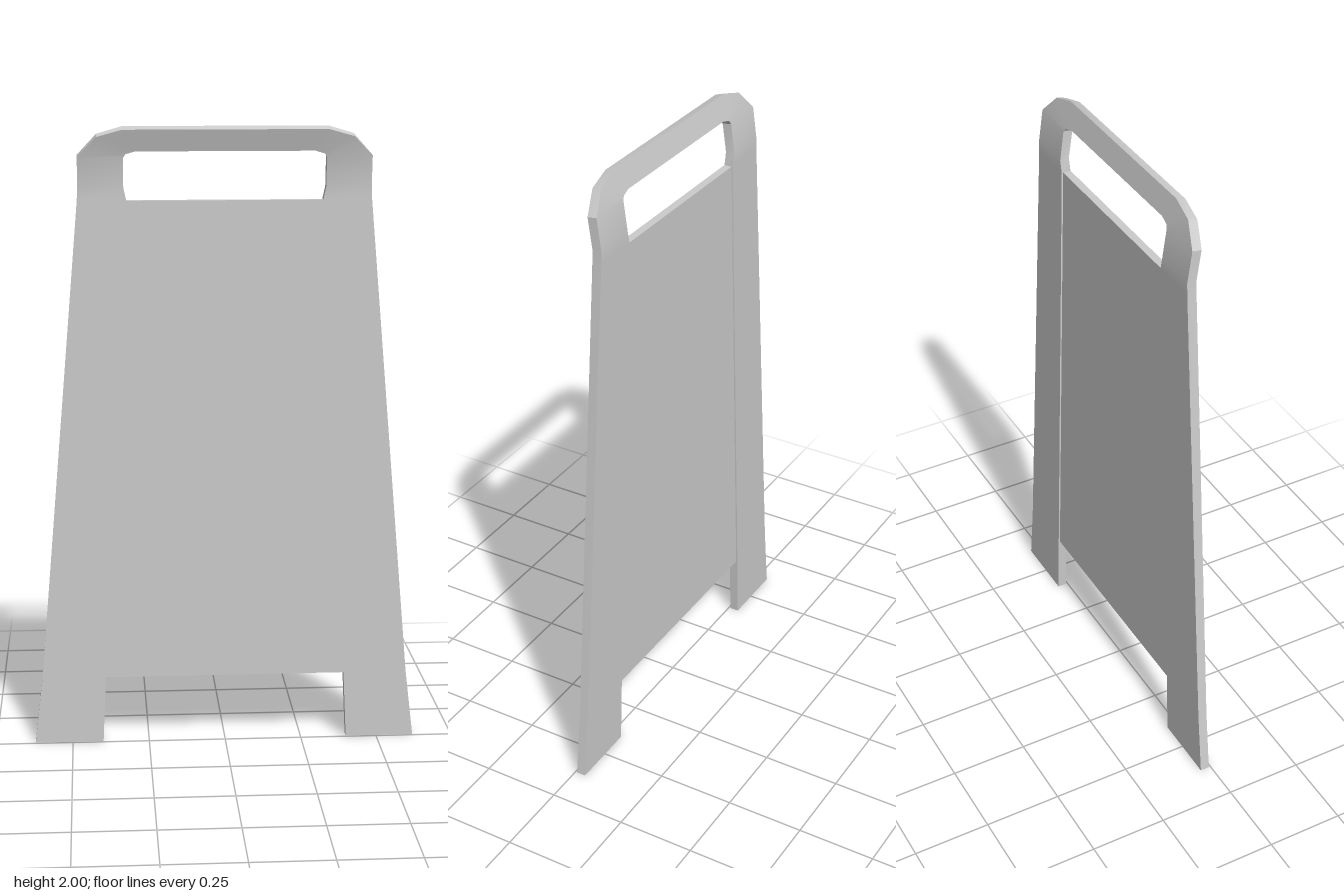
import * as THREE from 'three';
import { toCreasedNormals } from 'three/addons/utils/BufferGeometryUtils.js';

const material = new THREE.MeshStandardMaterial({ color: 0xcccccc });

// Outer and inner edge of the frame, from the left foot to the top: [outerX, outerY, innerX, innerY]
const halfFrame = [
  [0.622, 0, 0.4, 0],
  [0.596, 0.22, 0.39, 0.22],
  [0.462, 1.77, 0.308, 1.77],
  [0.46, 1.81, 0.317, 1.81],
  [0.46, 1.91, 0.317, 1.905],
  [0.4, 1.973, 0.31, 1.917],
  [0.32, 1.996, 0.28, 1.926],
];

// The top of the frame curls forward: returns the depth and tilt at a height
function bend(y) {
  const low = THREE.MathUtils.clamp((y - 1.81) / 0.1, 0, 1);
  const high = THREE.MathUtils.clamp((y - 1.91) / 0.09, 0, 1);
  return { z: -0.021 + 0.014 * low + 0.028 * high, tilt: 0.002 * low + 0.003 * high };
}

// Front (side = 1) or back (side = -1) point of the bent sheet
function sheetPoint(x, y, side) {
  const { z, tilt } = bend(y);
  return [x, y - side * tilt, z + side * 0.015];
}

// Loft a four-cornered section along the upside-down U
function frameGeometry() {
  const mirrored = halfFrame.map(([ox, oy, ix, iy]) => [-ox, oy, -ix, iy]).reverse();
  const stations = [...halfFrame, ...mirrored];
  const positions = [];
  const index = [];
  for (const [ox, oy, ix, iy] of stations) {
    positions.push(
      ...sheetPoint(ox, oy, 1), ...sheetPoint(ix, iy, 1),
      ...sheetPoint(ix, iy, -1), ...sheetPoint(ox, oy, -1),
    );
  }
  for (let s = 0; s < stations.length - 1; s++) {
    for (let k = 0; k < 4; k++) {
      const a = s * 4 + k, b = s * 4 + (k + 1) % 4;
      index.push(a, a + 4, b, b, a + 4, b + 4);
    }
  }
  // Feet
  const e = (stations.length - 1) * 4;
  index.push(0, 1, 2, 0, 2, 3, e, e + 2, e + 1, e, e + 3, e + 2);
  const geometry = new THREE.BufferGeometry();
  geometry.setAttribute('position', new THREE.Float32BufferAttribute(positions, 3));
  geometry.setIndex(index);
  return toCreasedNormals(geometry, 0.5);
}

// Tapered board set between the legs, flush with their front
function panelGeometry() {
  const shape = new THREE.Shape([
    new THREE.Vector2(-0.39, 0.22), new THREE.Vector2(0.39, 0.22),
    new THREE.Vector2(0.308, 1.77), new THREE.Vector2(-0.308, 1.77),
  ]);
  const geometry = new THREE.ExtrudeGeometry(shape, { depth: 0.025, bevelEnabled: false });
  return geometry.translate(0, 0, -0.031);
}

export function createModel() {
  const group = new THREE.Group();
  group.name = 'floorSignBoard';
  const parts = { frame: frameGeometry(), panel: panelGeometry() };
  for (const [name, geometry] of Object.entries(parts)) {
    const mesh = new THREE.Mesh(geometry, material);
    mesh.name = name;
    group.add(mesh);
  }
  return group;
}
